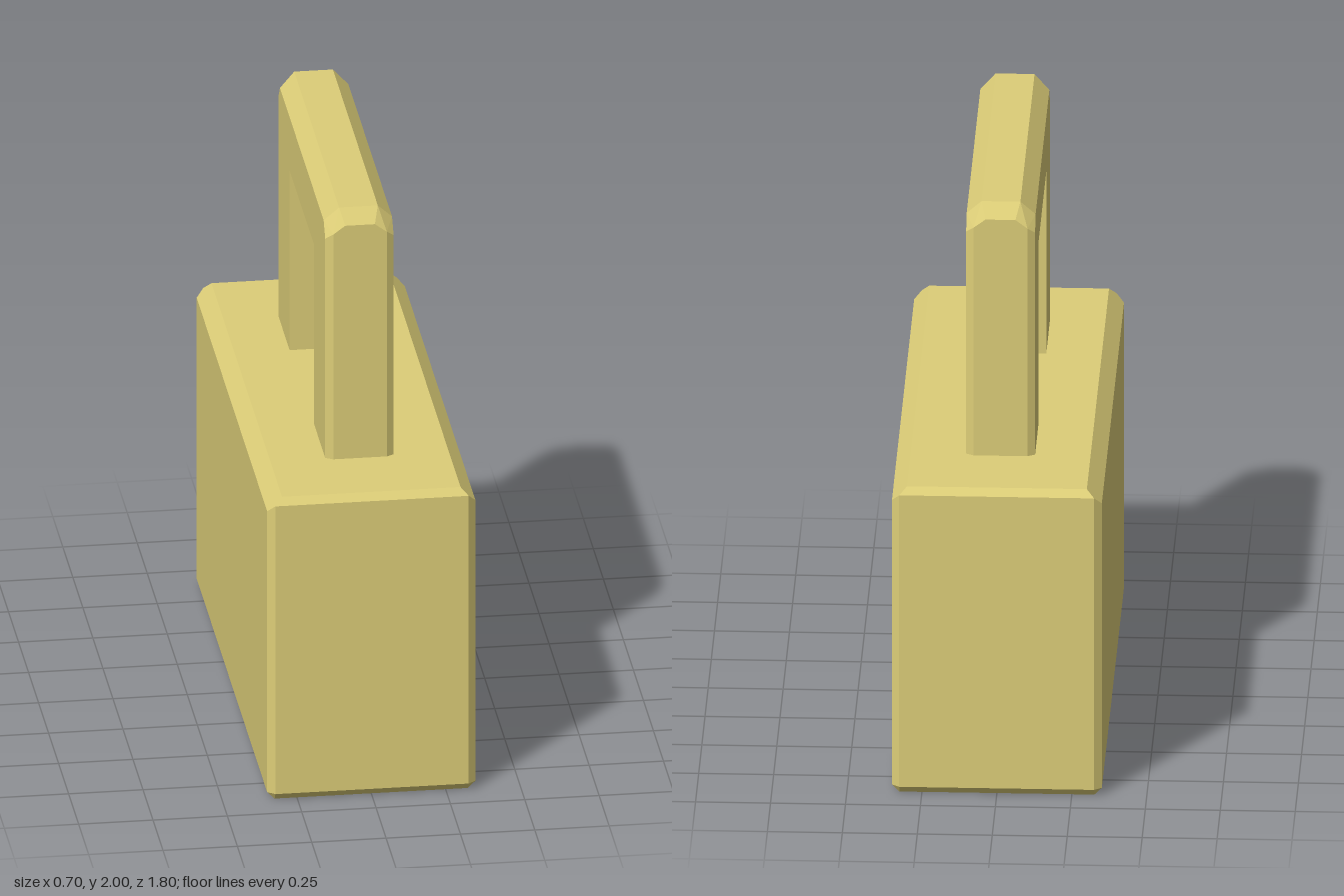
import * as THREE from 'three';
import { ConvexGeometry } from 'three/addons/geometries/ConvexGeometry.js';

// Parts are built with their broad face toward +z, then turned to face +x.
const BRASS = new THREE.MeshStandardMaterial({ color: 0xddce78, flatShading: true });
const DARK = new THREE.MeshStandardMaterial({ color: 0x5c524a, flatShading: true });

// Flat triangle list of a geometry
function triangles(geometry) {
  const g = geometry.index ? geometry.toNonIndexed() : geometry;
  return Array.from(g.attributes.position.array);
}

// Convex chamfered block from corner points mirrored in x and z,
// leaving out the triangles that lie wholly on an open face
function chamferedShell(corners, isOpen) {
  const points = [];
  for (const [x, y, z] of corners)
    for (const sx of [-1, 1])
      for (const sz of [-1, 1]) points.push(new THREE.Vector3(x * sx, y, z * sz));
  const all = triangles(new ConvexGeometry(points));
  const kept = [];
  for (let i = 0; i < all.length; i += 9) {
    const tri = [0, 3, 6].map((k) => all.slice(i + k, i + k + 3));
    if (!isOpen(tri)) kept.push(...tri.flat());
  }
  return kept;
}

// Flat panel at depth z, optionally with a hole
function panel(outline, z, hole, flip = false) {
  const toPoints = (list) => list.map(([x, y]) => new THREE.Vector2(x, y));
  const shape = new THREE.Shape(toPoints(outline));
  if (hole) shape.holes.push(new THREE.Path(toPoints(hole)));
  const g = new THREE.ShapeGeometry(shape);
  if (flip) g.rotateY(Math.PI);
  g.translate(0, 0, z);
  return triangles(g);
}

// Inward-facing wall from a front outline to a rear one (counterclockwise)
function wall(front, zFront, rear, zRear, closed = true) {
  const out = [];
  const n = front.length;
  for (let i = 0; i < (closed ? n : n - 1); i++) {
    const j = (i + 1) % n;
    const a = [...front[i], zFront], b = [...front[j], zFront];
    const c = [...rear[j], zRear], d = [...rear[i], zRear];
    out.push(...a, ...b, ...c, ...a, ...c, ...d);
  }
  return out;
}

function makeMesh(name, material, ...parts) {
  const g = new THREE.BufferGeometry();
  g.setAttribute('position', new THREE.Float32BufferAttribute(parts.flat(), 3));
  g.rotateY(Math.PI / 2);
  g.computeVertexNormals();
  const mesh = new THREE.Mesh(g, material);
  mesh.name = name;
  return mesh;
}

export function createModel() {
  const model = new THREE.Group();
  model.name = 'padlock';

  // Keyhole: outer rim x, y and inner rim x, y
  const keyhole = [
    [-0.255, 0.186, -0.23, 0.186], [-0.16, 0.165, -0.15, 0.186],
    [0.145, 0.165, 0.14, 0.186], [0.245, 0.186, 0.225, 0.186],
    [0.095, 0.555, 0.077, 0.55], [0.14, 0.605, 0.128, 0.615],
    [0.165, 0.665, 0.15, 0.68], [0.167, 0.78, 0.15, 0.8],
    [0.11, 0.9, 0.105, 0.885], [0.05, 0.935, 0.053, 0.918],
    [-0.05, 0.935, -0.05, 0.918], [-0.108, 0.9, -0.103, 0.88],
    [-0.155, 0.845, -0.15, 0.8], [-0.175, 0.76, -0.16, 0.715],
    [-0.155, 0.615, -0.135, 0.605], [-0.1, 0.555, -0.085, 0.55],
  ];
  const outer = keyhole.map(([x, y]) => [x, y]);
  const inner = keyhole.map(([, , x, y]) => [x, y]);

  // Body: chamfered block whose keyhole face is replaced by a pierced panel
  const W = 0.35, RIM = 0.33, FLOOR = 0.15;
  const body = chamferedShell(
    [
      [0.88, 0.025, W], [0.88, 1.05, W],
      [0.9, 0.025, 0.325], [0.9, 1.075, 0.325],
      [0.88, 0, 0.325], [0.88, 1.1, 0.3],
    ],
    (tri) => tri.every((p) => p[2] > W - 0.001),
  );
  const face = [[-0.88, 0.025], [0.88, 0.025], [0.88, 1.05], [-0.88, 1.05]];
  model.add(makeMesh('body', BRASS, body, panel(face, W, outer)));
  model.add(makeMesh('keyholeWall', BRASS,
    wall(outer, W, inner, RIM), wall(inner, RIM, inner, FLOOR)));
  model.add(makeMesh('keyholeFloor', DARK, panel(inner, FLOOR)));

  // Shackle: chamfered arch, its feet just inside the body
  const S = 0.115, FOOT = 1.09;
  const arch = chamferedShell(
    [
      [0.585, FOOT, S], [0.585, 1.9, S], [0.545, 1.95, S],
      [0.6, FOOT, 0.09], [0.6, 1.92, 0.09], [0.6, 1.95, 0.05],
      [0.56, 2, 0.065],
    ],
    (tri) => tri.every((p) => Math.abs(p[2]) > S - 0.001) || tri.every((p) => p[1] < FOOT + 0.001),
  );
  const opening = [[0.303, FOOT], [0.303, 1.755], [-0.303, 1.755], [-0.303, FOOT]];
  const side = [
    [0.585, FOOT], [0.585, 1.9], [0.545, 1.95],
    [-0.545, 1.95], [-0.585, 1.9], [-0.585, FOOT],
    ...[...opening].reverse(),
  ];
  model.add(makeMesh('shackle', BRASS, arch,
    panel(side, S), panel(side, -S, null, true),
    wall(opening, S, opening, -S, false)));

  return model;
}
